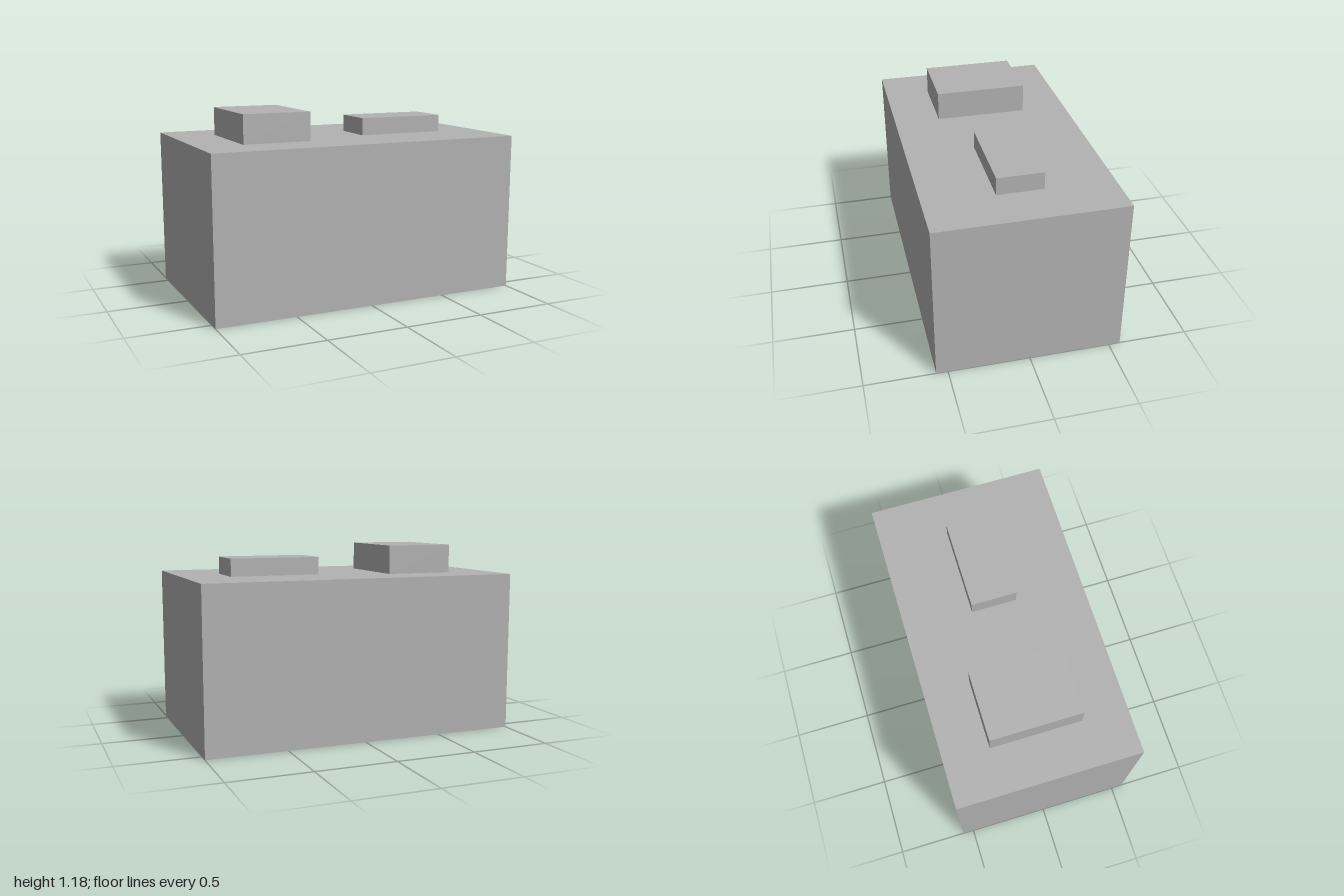
import * as THREE from 'three';

export function createModel() {
  const model = new THREE.Group();
  model.name = 'building';
  const grey = new THREE.MeshStandardMaterial({ color: 0xb2b2b2 });
  grey.name = 'grey';

  // Box standing on a given height
  function addBlock(name, width, height, depth, x, base) {
    const mesh = new THREE.Mesh(new THREE.BoxGeometry(width, height, depth), grey);
    mesh.name = name;
    mesh.position.set(x, base + height / 2, 0);
    model.add(mesh);
  }

  // Main block
  addBlock('body', 2, 1, 1.143, 0, 0);

  // Raised blocks on the roof
  addBlock('tallRoofBlock', 0.429, 0.18, 0.571, -0.5, 1);
  addBlock('lowRoofBlock', 0.571, 0.11, 0.286, 0.429, 1);

  return model;
}
